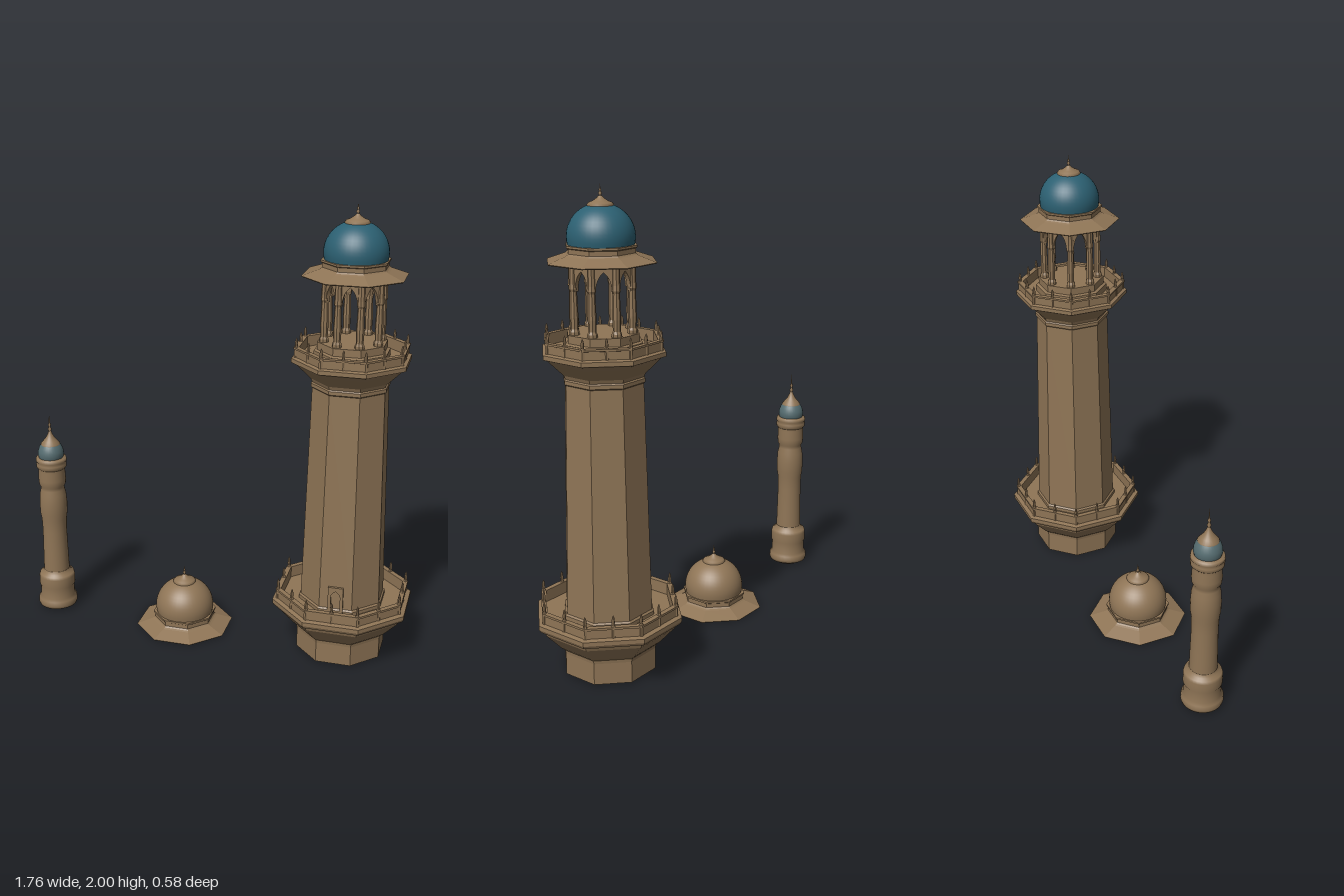
import * as THREE from 'three';

const stone = new THREE.MeshStandardMaterial({ color: 0x8f7556 });
stone.name = 'sandstone';
const teal = new THREE.MeshStandardMaterial({ color: 0x2c6072 });
teal.name = 'tealTile';
const grey = new THREE.MeshStandardMaterial({ color: 0x556c70 });
grey.name = 'weatheredTile';

function add(parent, name, geo, mat = stone) {
  const m = new THREE.Mesh(geo, mat);
  m.name = name;
  parent.add(m);
  return m;
}

// Turned profile, given as [radius, height] from bottom to top
function turned(points, sides = 32) {
  return new THREE.LatheGeometry(points.map(([r, y]) => new THREE.Vector2(r, y)), sides);
}

// Faceted eight-sided profile; radii are measured to the flat sides
function octagon(points) {
  const k = 1 / Math.cos(Math.PI / 8);
  const v = points.map(([r, y]) => new THREE.Vector2(r * k, y));
  const g = new THREE.LatheGeometry(v, 8, Math.PI / 8).toNonIndexed();
  g.computeVertexNormals();
  return g;
}

function flat(geo) {
  const g = geo.index ? geo.toNonIndexed() : geo;
  g.computeVertexNormals();
  return g;
}

// Spiked posts on the corners and side middles of an octagonal parapet
function posts(parent, apothem, y0, y1) {
  const h = y1 - y0;
  const geo = flat(turned([[0, 0], [0.009, 0], [0.009, h * 0.5], [0.006, h * 0.56],
    [0.007, h * 0.7], [0.005, h * 0.88], [0, h]], 6));
  for (let i = 0; i < 16; i++) {
    const a = i * Math.PI / 8;
    const r = i % 2 ? apothem / Math.cos(Math.PI / 8) : apothem;
    add(parent, 'parapetPost', geo).position.set(Math.sin(a) * r, y0, Math.cos(a) * r);
  }
}

// Dome on a wide eight-sided eave, with cap and finial
function domeRoof(name, mat) {
  const g = new THREE.Group();
  g.name = name;
  add(g, 'eave', octagon([[0, 0.03], [0.118, 0.03], [0.118, 0.006], [0.128, 0.006],
    [0.128, 0.022], [0.203, 0.002], [0.206, 0.006], [0.142, 0.03], [0.134, 0.034],
    [0.128, 0.04], [0.128, 0.058], [0.134, 0.062], [0.134, 0.07], [0, 0.07]]));
  const pts = [];
  for (let i = 0; i <= 14; i++) {
    const a = -0.22 + (Math.PI / 2 + 0.22) * i / 14;
    pts.push([Math.max(0, 0.133 * Math.cos(a)), 0.098 + 0.127 * Math.sin(a)]);
  }
  add(g, 'dome', turned(pts, 40), mat);
  add(g, 'domeCap', turned([[0.05, 0.207], [0.052, 0.218], [0.046, 0.226],
    [0.03, 0.232], [0.014, 0.243], [0.006, 0.252]], 24));
  add(g, 'finial', turned([[0.007, 0.246], [0.004, 0.254], [0.008, 0.261], [0.003, 0.268],
    [0.005, 0.274], [0.002, 0.281], [0, 0.297]], 10));
  return g;
}

function pointedArch(s, w, y0, spring, top) {
  s.lineTo(w, y0);
  s.lineTo(w, spring);
  s.quadraticCurveTo(w, spring + (top - spring) * 0.65, 0, top);
  s.quadraticCurveTo(-w, spring + (top - spring) * 0.65, -w, spring);
  s.lineTo(-w, y0);
}

function lantern() {
  const g = new THREE.Group();
  g.name = 'lantern';
  // One arched bay per side
  const s = new THREE.Shape();
  s.moveTo(0.046, 1.60);
  s.lineTo(0.046, 1.725);
  s.lineTo(-0.046, 1.725);
  s.lineTo(-0.046, 1.60);
  s.lineTo(-0.031, 1.60);
  s.quadraticCurveTo(-0.031, 1.655, 0, 1.68);
  s.quadraticCurveTo(0.031, 1.655, 0.031, 1.60);
  const bay = new THREE.ExtrudeGeometry(s, { depth: 0.018, bevelEnabled: false, curveSegments: 8 });
  const column = flat(turned([[0.02, 1.42], [0.02, 1.445], [0.015, 1.455], [0.017, 1.50],
    [0.014, 1.60], [0.018, 1.61], [0.016, 1.63], [0.015, 1.725]], 8));
  const r = 0.112 / Math.cos(Math.PI / 8);
  for (let i = 0; i < 8; i++) {
    const side = new THREE.Group();
    side.name = 'lanternBay';
    side.rotation.y = i * Math.PI / 4;
    add(side, 'arch', bay).position.z = 0.1;
    add(side, 'column', column).position.set(
      Math.sin(Math.PI / 8) * r, 0, Math.cos(Math.PI / 8) * r);
    g.add(side);
  }
  return g;
}

function tower() {
  const g = new THREE.Group();
  g.name = 'tower';
  add(g, 'base', octagon([[0, 0.008], [0.185, 0.008], [0.185, 0.1], [0.187, 0.115]]));
  add(g, 'lowerBalcony', octagon([[0.187, 0.115], [0.205, 0.132], [0.262, 0.2], [0.268, 0.215],
    [0.284, 0.222], [0.291, 0.235], [0.291, 0.252], [0.272, 0.257], [0.272, 0.292],
    [0.277, 0.294], [0.277, 0.303], [0.255, 0.303], [0.255, 0.252], [0.17, 0.252]]));
  posts(g, 0.267, 0.255, 0.352);
  add(g, 'shaft', octagon([[0.18, 0.25], [0.18, 0.268], [0.173, 0.275], [0.152, 1.235],
    [0.157, 1.24], [0.157, 1.255], [0.152, 1.26]]));
  add(g, 'upperBalcony', octagon([[0.152, 1.26], [0.158, 1.275], [0.205, 1.325], [0.218, 1.34],
    [0.236, 1.347], [0.236, 1.365], [0.222, 1.37], [0.222, 1.402], [0.228, 1.404],
    [0.228, 1.412], [0.206, 1.412], [0.206, 1.366], [0.13, 1.366]]));
  posts(g, 0.217, 1.367, 1.453);
  add(g, 'lanternPlinth', octagon([[0.15, 1.366], [0.15, 1.395], [0.138, 1.4],
    [0.138, 1.432], [0, 1.432]]));

  // Doorway onto the lower balcony
  const frame = new THREE.Shape();
  frame.moveTo(-0.033, 0.25);
  frame.lineTo(0.033, 0.25);
  frame.lineTo(0.033, 0.378);
  frame.lineTo(-0.033, 0.378);
  const hole = new THREE.Path();
  hole.moveTo(-0.02, 0.254);
  pointedArch(hole, 0.02, 0.254, 0.33, 0.36);
  frame.holes.push(hole);
  add(g, 'doorFrame', new THREE.ExtrudeGeometry(frame,
    { depth: 0.02, bevelEnabled: false, curveSegments: 6 })).position.z = 0.162;

  g.add(lantern());
  const roof = domeRoof('towerRoof', teal);
  roof.position.y = 1.703;
  g.add(roof);
  return g;
}

function turret() {
  const g = new THREE.Group();
  g.name = 'cornerTurret';
  add(g, 'turretBase', turned([[0, 0.004], [0.062, 0.004], [0.066, 0.014], [0.088, 0.018],
    [0.092, 0.03], [0.09, 0.052], [0.08, 0.062], [0.08, 0.115], [0.084, 0.122], [0.084, 0.165],
    [0.08, 0.178], [0.066, 0.184], [0.06, 0.2]]));
  add(g, 'turretShaft', turned([[0.06, 0.2], [0.058, 0.3], [0.056, 0.4], [0.058, 0.46],
    [0.063, 0.49], [0.064, 0.54], [0.061, 0.585], [0.055, 0.61], [0.055, 0.625], [0.061, 0.635],
    [0.063, 0.66], [0.061, 0.7], [0.062, 0.718]]));
  add(g, 'turretCornice', turned([[0.062, 0.715], [0.069, 0.722], [0.07, 0.738], [0.065, 0.744],
    [0.071, 0.752], [0.069, 0.765], [0.05, 0.77]]));
  add(g, 'turretDome', turned([[0.055, 0.766], [0.06, 0.782], [0.058, 0.8], [0.052, 0.818],
    [0.044, 0.83]]), grey);
  add(g, 'turretCap', turned([[0.044, 0.826], [0.044, 0.834], [0.032, 0.848], [0.02, 0.863],
    [0.01, 0.882], [0.006, 0.895]], 24));
  add(g, 'turretFinial', turned([[0.006, 0.893], [0.009, 0.903], [0.004, 0.914], [0.007, 0.924],
    [0.003, 0.936], [0.002, 0.955], [0, 0.98]], 10));
  return g;
}

export function createModel() {
  const model = new THREE.Group();
  model.name = 'towerSet';
  const t = tower();
  t.position.x = 0.587;
  const d = domeRoof('separateDome', stone);
  d.position.x = -0.15;
  const m = turret();
  m.position.x = -0.79;
  model.add(t, d, m);
  return model;
}
